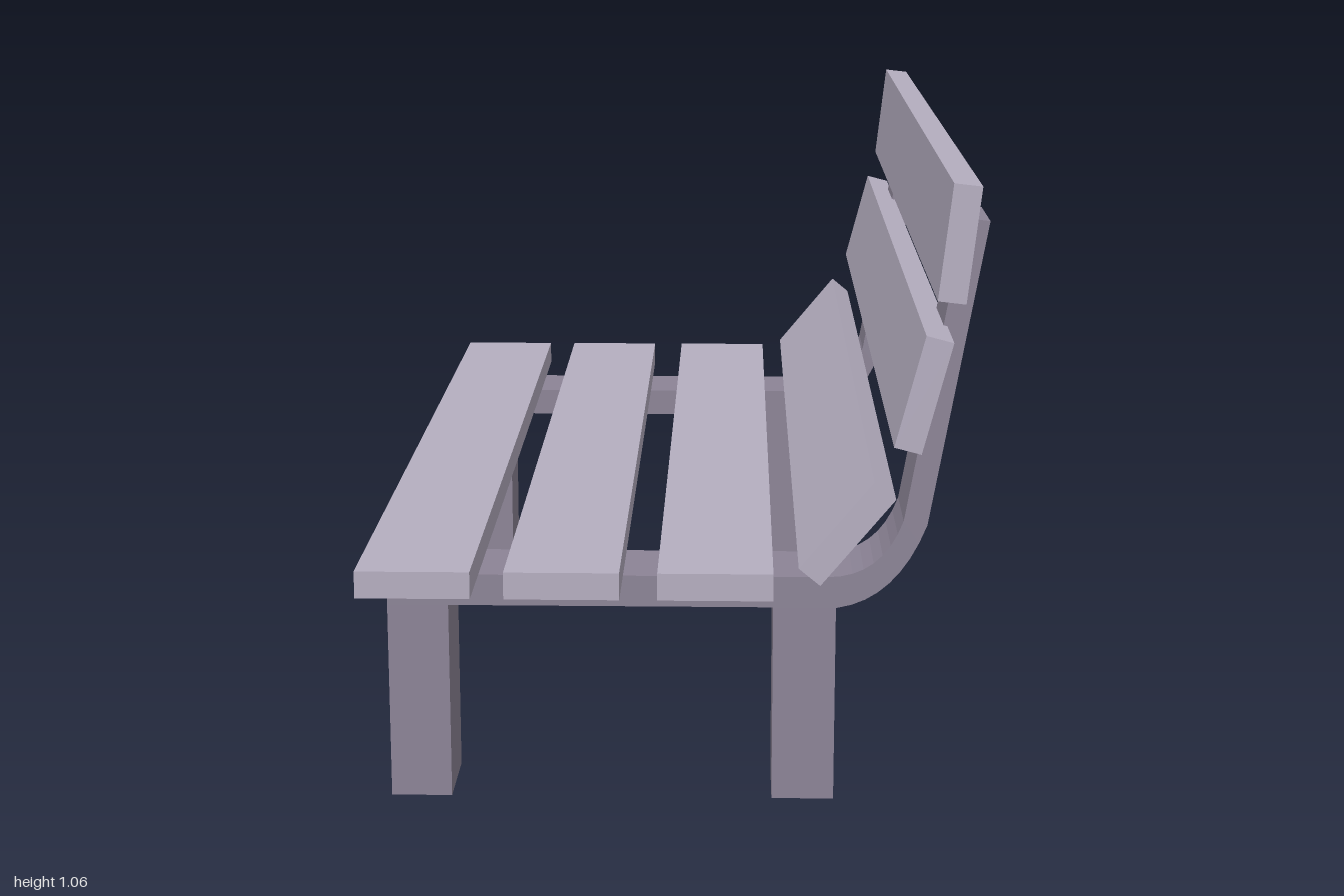
import * as THREE from 'three';

const slatMat = new THREE.MeshStandardMaterial({ color: 0xb5aec0 });
const frameMat = new THREE.MeshStandardMaterial({ color: 0x8c8496 });

export function createModel() {
  const root = new THREE.Group();
  root.name = 'bench';
  // Local x runs from the seat front to the backrest, local z along the slats
  const bench = new THREE.Group();
  bench.name = 'benchBody';
  bench.rotation.y = 0.29;
  root.add(bench);

  const box = (name, mat, x0, x1, y0, y1, z0, z1) => {
    const m = new THREE.Mesh(new THREE.BoxGeometry(x1 - x0, y1 - y0, z1 - z0), mat);
    m.name = name;
    m.position.set((x0 + x1) / 2, (y0 + y1) / 2, (z0 + z1) / 2);
    bench.add(m);
    return m;
  };

  // Seat slats
  const slatW = 0.186, slatT = 0.045, z0 = -0.9, z1 = 0.886;
  for (const x of [-0.494, -0.254, -0.007]) {
    box('seatSlat', slatMat, x, x + slatW, 0.39, 0.435, z0, z1);
  }

  // Backrest slats: front lower corner and tilt from vertical
  for (const [x, y, tilt] of [[0.219, 0.445, 0.69], [0.367, 0.645, 0.255], [0.43, 0.88, 0.113]]) {
    const m = box('backSlat', slatMat, 0, slatT, 0, slatW, z0, z1);
    const c = Math.cos(tilt), s = Math.sin(tilt);
    m.rotation.z = -tilt;
    m.position.x = x + (slatT * c + slatW * s) / 2;
    m.position.y = y + (slatW * c - slatT * s) / 2;
  }

  // Side supports: seat rail that bends up behind the backrest
  const profile = new THREE.Shape();
  profile.moveTo(-0.461, 0.337);
  profile.lineTo(0.287, 0.337);
  profile.quadraticCurveTo(0.385, 0.352, 0.433, 0.48);
  profile.lineTo(0.522, 0.985);
  profile.lineTo(0.482, 0.99);
  profile.lineTo(0.394, 0.487);
  profile.quadraticCurveTo(0.36, 0.39, 0.27, 0.39);
  profile.lineTo(-0.461, 0.39);
  profile.closePath();
  const width = 0.147;
  const railGeo = new THREE.ExtrudeGeometry(profile, { depth: width, bevelEnabled: false, curveSegments: 8 });

  for (const z of [-0.76, 0.606]) {
    const rail = new THREE.Mesh(railGeo, frameMat);
    rail.name = 'sideSupport';
    rail.position.z = z;
    bench.add(rail);
    // Legs
    box('frontLeg', frameMat, -0.461, z < 0 ? -0.376 : -0.359, 0, 0.337, z, z + width);
    box('rearLeg', frameMat, 0.181, 0.285, 0, 0.337, z, z + width);
  }

  // Cross beam joining the supports under the rear seat slat
  box('crossBeam', frameMat, 0.11, 0.178, 0.337, 0.39, -0.613, 0.606);

  return root;
}
